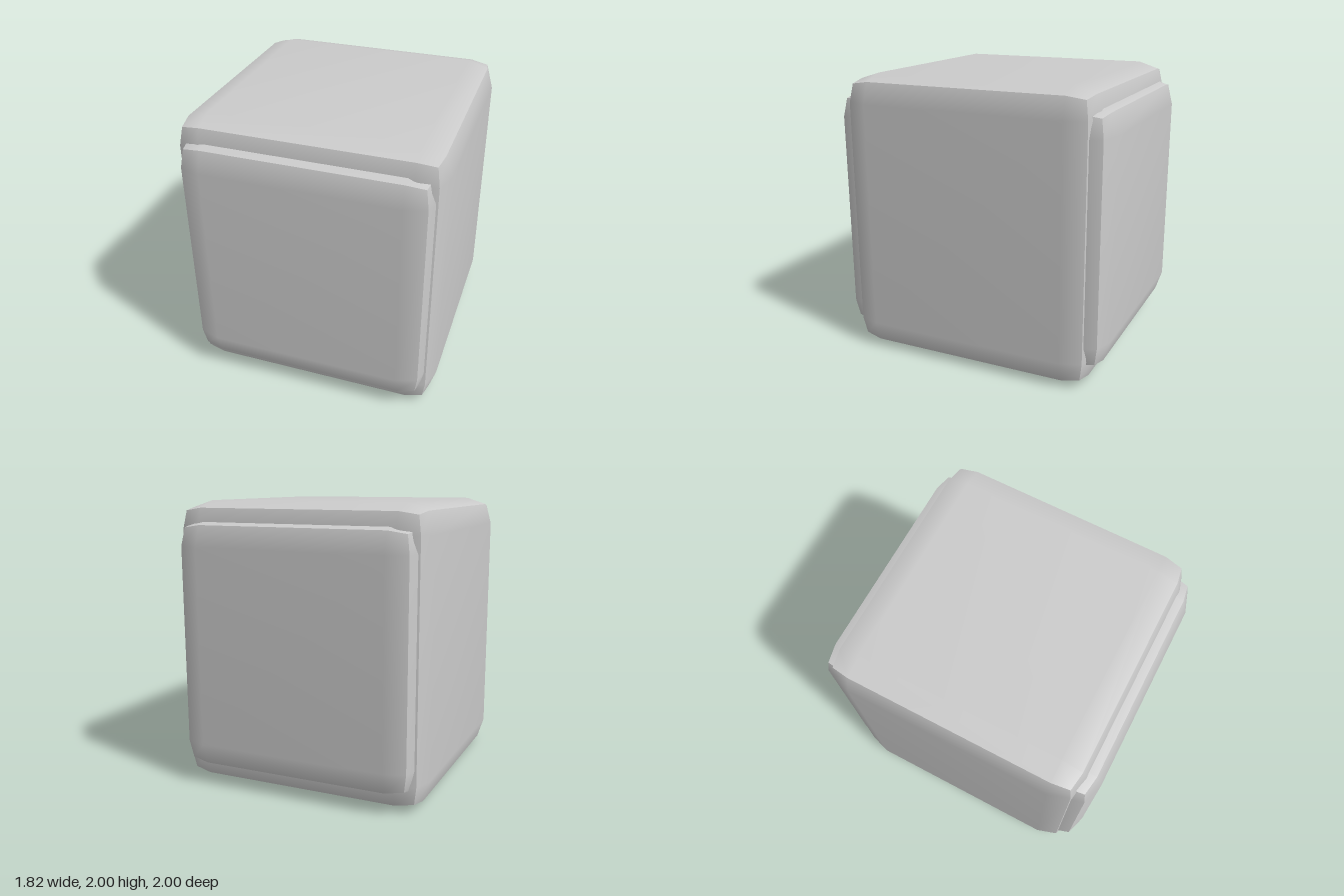
import * as THREE from 'three';

const material = new THREE.MeshStandardMaterial({ color: 0xcccccc });

// Box with softly raised faces: every face has a flat plateau, and its rim
// falls back along the edges and a little more at the corners.
function pillowBox(name, halfX, halfY, halfZ) {
  const half = [halfX, halfY, halfZ];
  const plateauInset = 0.194;
  const drop = [0, 0, 0.047, 0.067]; // by number of faces meeting at the vertex
  const geometry = new THREE.BoxGeometry(2 * halfX, 2 * halfY, 2 * halfZ, 3, 3, 3);
  const position = geometry.attributes.position;
  for (let i = 0; i < position.count; i++) {
    const p = [position.getX(i), position.getY(i), position.getZ(i)];
    const outer = p.map((v, k) => Math.abs(v) > half[k] * 0.6);
    const meeting = outer.filter(Boolean).length;
    const moved = p.map((v, k) =>
      Math.sign(v) * (half[k] - (outer[k] ? drop[meeting] : plateauInset)));
    position.setXYZ(i, ...moved);
  }
  // Faces do not share vertices, so each is smooth with crisp edges between
  geometry.computeVertexNormals();
  const mesh = new THREE.Mesh(geometry, material);
  mesh.name = name;
  mesh.position.y = 1;
  return mesh;
}

export function createModel() {
  const model = new THREE.Group();
  model.name = 'pillowBlock';
  // Main block
  model.add(pillowBox('body', 0.91, 1, 0.913));
  // Smaller block running through, showing as the front and back panels
  model.add(pillowBox('frontAndBackPanels', 0.87, 0.888, 1));
  return model;
}
